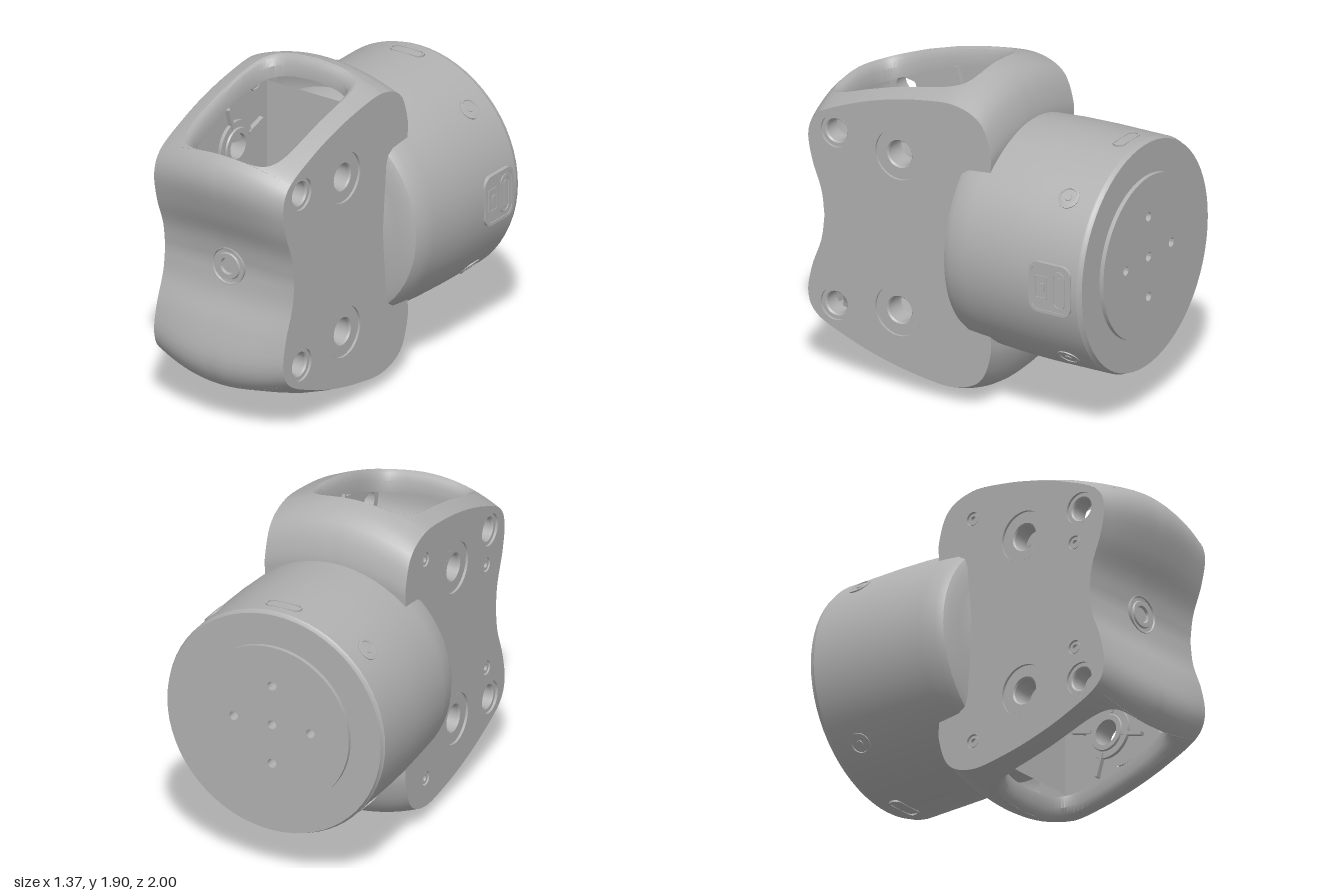
import * as THREE from 'three';
import { mergeVertices, mergeGeometries, toCreasedNormals } from 'three/addons/utils/BufferGeometryUtils.js';

const CY = 0.95, HALF = 0.44; // axis height, half width of the housing
const V2 = (x, y) => new THREE.Vector2(x, y);
const V3 = (x, y, z) => new THREE.Vector3(x, y, z);

// outer profile (z, y) from the back to the front waist, at the centre and at the flat sides
const curve = pts => new THREE.CatmullRomCurve3(pts.map(([z, y]) => V3(0, y, z)), false, 'catmullrom', 0.5);
const crown = curve([[-.24, .95], [-.24, 1.45], [-.24, 1.64], [-.16, 1.82], [0, 1.9], [.23, 1.88], [.46, 1.83],
  [.69, 1.76], [.92, 1.65], [1, 1.5], [.95, 1.3], [.87, 1.12], [.84, .95]]);
const edge = curve([[-.24, .95], [-.24, 1.4], [-.24, 1.56], [-.17, 1.73], [0, 1.8], [.23, 1.78], [.46, 1.73],
  [.67, 1.66], [.88, 1.56], [.945, 1.44], [.92, 1.27], [.86, 1.1], [.84, .95]]);

function skinPoint(s, x) {
  const p = crown.getPoint(s / 12).lerp(edge.getPoint(s / 12), (x / HALF) ** 2);
  p.x = x;
  return p;
}

// rounded opening: half width and profile position for an angle
const pw = v => Math.sign(v) * Math.abs(v) ** 0.4;
const snap = v => (Math.abs(v) < 1e-9 ? 0 : v);
const opening = a => ({ x: 0.34 * pw(snap(Math.cos(a))), s: 6 + 2 * pw(snap(Math.sin(a))) });

// surface through rows of points
function grid(rows) {
  const n = rows[0].length, pos = [], idx = [];
  rows.forEach(r => r.forEach(p => pos.push(p.x, p.y, p.z)));
  for (let i = 0; i < rows.length - 1; i++) {
    for (let j = 0; j < n - 1; j++) {
      const a = i * n + j, b = a + 1, c = a + n, d = c + 1;
      idx.push(a, b, c, b, d, c);
    }
  }
  const g = new THREE.BufferGeometry();
  g.setAttribute('position', new THREE.Float32BufferAttribute(pos, 3));
  g.setIndex(idx);
  return g;
}

// copy mirrored in x and/or about the axis height
function mirrored(g, sx, sy) {
  const m = g.clone();
  m.scale(sx, sy, 1);
  if (sy < 0) m.translate(0, 2 * CY, 0);
  if (sx * sy < 0) m.index.array.reverse();
  return m;
}

function smooth(list, angle = 0.6) {
  const g = mergeGeometries(list);
  for (const k of ['uv', 'normal']) g.deleteAttribute(k);
  return toCreasedNormals(mergeVertices(g, 1e-4), angle);
}

function circle(z, y, r) {
  return new THREE.Path().absarc(z, y, r, 0, Math.PI * 2, true);
}

function roundRect(w, h, r, Type = THREE.Shape) {
  const s = new Type(), x = w / 2 - r, y = h / 2 - r;
  s.absarc(x, y, r, 0, Math.PI / 2);
  s.absarc(-x, y, r, Math.PI / 2, Math.PI);
  s.absarc(-x, -y, r, Math.PI, Math.PI * 1.5);
  s.absarc(x, -y, r, Math.PI * 1.5, Math.PI * 2);
  s.closePath();
  return s;
}

export function createModel() {
  const root = new THREE.Group();
  const grey = new THREE.MeshStandardMaterial({ color: 0xb0b0b0, side: THREE.DoubleSide });
  grey.name = 'grey';
  const add = (name, geo, parent = root) => {
    const m = new THREE.Mesh(geo, grey);
    m.name = name;
    parent.add(m);
    return m;
  };
  const extrude = (shape, depth) => new THREE.ExtrudeGeometry(shape, { depth, bevelEnabled: false, curveSegments: 12 });
  const lathe = (pts, seg = 32) => toCreasedNormals(new THREE.LatheGeometry(pts.map(p => V2(...p)), seg), 0.5);

  // crowned outer skin with the top and bottom openings
  const samples = [];
  for (let s = 0; s < 4; s += 0.25) samples.push({ s, x: 0 });
  for (let i = 0; i <= 32; i++) samples.push(opening(-Math.PI / 2 + Math.PI * i / 32));
  for (let s = 8.25; s <= 12; s += 0.25) samples.push({ s, x: 0 });
  const skin = grid(samples.map(({ s, x }) =>
    Array.from({ length: 9 }, (_, j) => skinPoint(s, x + (HALF - x) * j / 8))));
  add('housingSkin', smooth([[1, 1], [-1, 1], [1, -1], [-1, -1]].map(m => mirrored(skin, ...m))));

  // rolled lips of the openings
  const ring = Array.from({ length: 65 }, (_, i) => opening(Math.PI * 2 * i / 64));
  const lip = grid([[1, 0], [.95, .012], [.9, .05], [.9, .12]].map(([k, drop]) => ring.map(({ s, x }) => {
    const p = skinPoint(s, x);
    return V3(p.x * k, p.y - drop, .46 + (p.z - .46) * k);
  })));
  add('openingLips', smooth([lip, mirrored(lip, 1, -1)]));

  // flat sides and inner cavity walls, pierced by the bolt holes
  const bolts = [[.77, 1.47, .065, .095], [.36, 1.42, .075, .15]].flatMap(([z, y, r, R]) =>
    [[z, y, r, R], [z, 2 * CY - y, r, R]]);
  const caps = [[.73, 1.27], [0, 1.63], [.73, .63], [0, .27]];
  const flatAt = (shape, x) => new THREE.ShapeGeometry(shape, 24).rotateY(-Math.PI / 2).translate(x, 0, 0);
  const half = edge.getPoints(72).map(p => V2(p.z, p.y));
  const outline = [...half, ...half.slice(1, -1).reverse().map(p => V2(p.x, 2 * CY - p.y))];
  const front = new THREE.SplineCurve([[.65, .95], [.66, 1.1], [.78, 1.28], [.87, 1.42], [.88, 1.56]]
    .map(p => V2(...p))).getPoints(20);
  const frontFull = [...front.slice(1).reverse().map(p => V2(p.x, 2 * CY - p.y)), ...front];

  for (const side of [1, -1]) {
    const sideGroup = new THREE.Group();
    sideGroup.name = side > 0 ? 'leftSide' : 'rightSide';
    root.add(sideGroup);
    const face = new THREE.Shape(outline);
    bolts.forEach(([z, y, , R]) => face.holes.push(circle(z, y, R)));
    if (side < 0) caps.forEach(([z, y]) => face.holes.push(circle(z, y, .042)));
    add('sideFace', flatAt(face, side * HALF), sideGroup);

    const inner = new THREE.Shape([V2(.045, .2), ...frontFull, V2(.045, 1.7)]);
    bolts.forEach(([z, y, r]) => inner.holes.push(circle(z, y, r)));
    add('cavitySide', flatAt(inner, side * .315), sideGroup);

    const turned = (name, pts, z, y, seg) => {
      const m = add(name, lathe(pts, seg).rotateZ(-side * Math.PI / 2), sideGroup);
      m.position.set(0, y, z);
    };
    for (const [z, y, r, R] of bolts) {
      turned('boltHole', [[r, .315], [r, .415], [r + .008, .425], [R, .425], [R, HALF]], z, y);
      if (R < .1) continue;
      // thin bearing boss and its ribs
      turned('bearingBoss', [[r, .315], [r, .285], [r + .03, .285], [r + .035, .295], [.15, .295], [.15, .315]], z, y);
      for (const a of [0, 1, 2, 3]) {
        const rib = add('bossRib', new THREE.BoxGeometry(.03, .14, .02), sideGroup);
        const t = a * Math.PI / 2 + .3;
        rib.position.set(side * .302, y + .19 * Math.cos(t), z + .19 * Math.sin(t));
        rib.rotation.x = t;
      }
    }
    if (side < 0) for (const [z, y] of caps) {
      turned('capScrew', [[.042, HALF], [.042, .42], [.034, .42], [.034, .434], [.018, .434], [.018, .415], [0, .415]], z, y, 18);
    }
  }

  // front and back walls of the cavity
  add('cavityFront', smooth([grid(frontFull.map(p => [V3(-.315, p.y, p.x), V3(.315, p.y, p.x)]))]));
  const back = add('cavityBack', new THREE.PlaneGeometry(.63, 1.5));
  back.position.set(0, CY, .045);

  // worm screw on its shaft
  const worm = new THREE.Group();
  worm.name = 'wormScrew';
  worm.position.y = CY;
  root.add(worm);
  const thread = [];
  for (let i = 0; i <= 120; i++) {
    thread.push(Array.from({ length: 33 }, (_, j) => {
      const z = .13 + .45 * i / 120, t = Math.PI * 2 * j / 32;
      const f = (((z / .085 - j / 32) % 1) + 1) % 1;
      const r = .145 + .05 * THREE.MathUtils.clamp(1.4 - Math.abs(f - .5) * 4.4, 0, 1);
      return V3(r * Math.cos(t), r * Math.sin(t), z);
    }));
  }
  add('wormThread', smooth([grid(thread)], .7), worm);
  add('wormShaft', lathe([[.12, .04], [.12, .105], [.195, .105], [.195, .13], [.14, .13], [.14, .58],
    [.105, .58], [.105, .66]]).rotateX(Math.PI / 2), worm);

  // bushing in the front waist
  add('frontBushing', lathe([[0, .846], [.045, .846], [.05, .862], [.075, .862], [.08, .852], [.1, .852], [.105, .862],
    [.11, .862], [.11, .82]]).rotateX(Math.PI / 2)).position.y = CY;

  // motor barrel; profile heights run along z
  add('motorBarrel', lathe([[0, 0], [.42, 0], [.46, -.015], [.52, -.028], [.59, -.036], [.63, -.055], [.652, -.1],
    [.66, -.2], [.675, -.42], [.68, -.6], [.68, -.945], [.672, -.955], [.668, -.975], [.47, -.975]], 64)
    .rotateX(Math.PI / 2)).position.y = CY;

  // rear output disc with five holes
  const disc = new THREE.Shape().absarc(0, 0, .48, 0, Math.PI * 2);
  [[0, 0], [.24, 0], [-.24, 0], [0, .24], [0, -.24]].forEach(([x, y]) => disc.holes.push(circle(x, y, .027)));
  const discGeo = new THREE.ExtrudeGeometry(disc, { depth: .1, bevelEnabled: false, curveSegments: 32 });
  add('outputDisc', toCreasedNormals(discGeo, .5)).position.set(0, CY, -1);
  const floor = add('discFloor', new THREE.CircleGeometry(.47, 32));
  floor.position.set(0, CY, -.92);

  // four screws around the barrel
  for (let i = 0; i < 4; i++) {
    const a = Math.PI / 4 + i * Math.PI / 2;
    const screw = add('barrelScrew', lathe([[.066, -.02], [.066, .004], [.052, .006], [.05, .001], [.022, .001],
      [.02, .006], [0, .006]], 24));
    screw.position.set(.68 * Math.cos(a), CY + .68 * Math.sin(a), -.775);
    screw.rotation.z = a - Math.PI / 2;
  }

  // connector panel on the left of the barrel (local x runs to -z)
  const panel = new THREE.Group();
  panel.name = 'connectorPanel';
  panel.position.set(.66, CY, -.775);
  panel.rotation.y = Math.PI / 2;
  root.add(panel);
  const frame = roundRect(.27, .3, .06);
  frame.holes.push(roundRect(.235, .265, .045, THREE.Path));
  add('panelFrame', extrude(frame, .026), panel);
  add('panelPlate', extrude(roundRect(.25, .28, .05), .0215), panel);
  const port = roundRect(.085, .23, .042);
  port.holes.push(roundRect(.06, .2, .03, THREE.Path));
  add('portShell', extrude(port, .028), panel).position.x = .055;
  add('portTongue', extrude(roundRect(.02, .16, .008), .026), panel).position.x = .055;
  const switchFrame = roundRect(.085, .14, .008);
  switchFrame.holes.push(roundRect(.065, .12, .006, THREE.Path));
  add('switchFrame', extrude(switchFrame, .026), panel).position.x = -.06;
  add('switchKnob', extrude(roundRect(.03, .05, .005), .028), panel).position.x = -.05;

  // slim slot rims above and below the barrel
  for (const s of [1, -1]) {
    const slot = roundRect(.22, .075, .036);
    slot.holes.push(roundRect(.2, .055, .027, THREE.Path));
    const m = add('barrelSlot', extrude(slot, .012));
    m.position.set(0, CY + s * .67, -.855);
    m.rotation.x = -s * Math.PI / 2;
  }
  return root;
}
